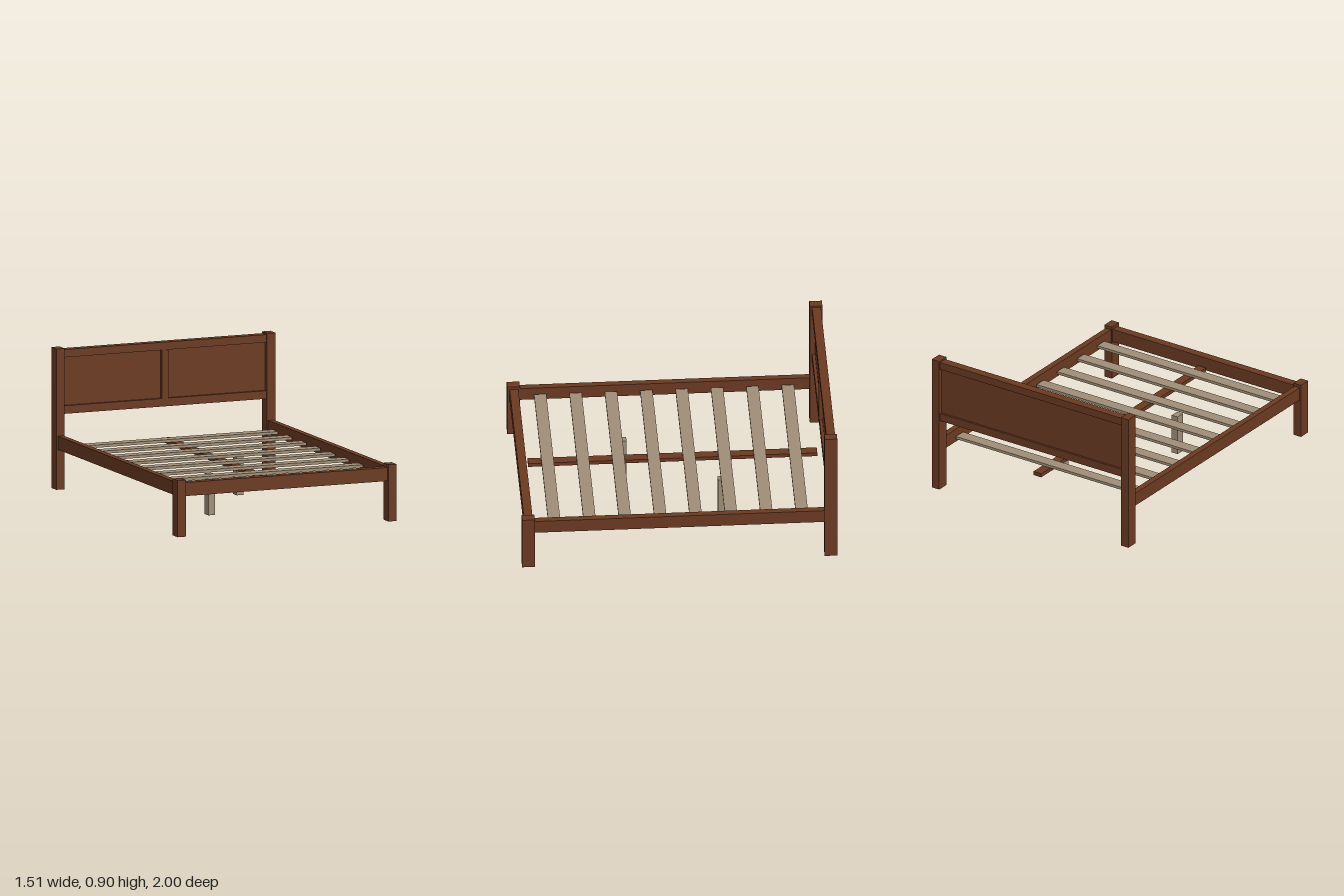
import * as THREE from 'three';

export function createModel() {
  const bed = new THREE.Group();
  bed.name = 'bedFrame';

  const brownWood = new THREE.MeshStandardMaterial({ color: 0x6b3a22 });
  brownWood.name = 'brownWood';
  const paleWood = new THREE.MeshStandardMaterial({ color: 0xa08f78 });
  paleWood.name = 'paleWood';

  // Box given by its lower and upper limits on each axis
  function board(name, material, [x0, x1], [y0, y1], [z0, z1]) {
    const mesh = new THREE.Mesh(new THREE.BoxGeometry(x1 - x0, y1 - y0, z1 - z0), material);
    mesh.position.set((x0 + x1) / 2, (y0 + y1) / 2, (z0 + z1) / 2);
    mesh.name = name;
    bed.add(mesh);
  }

  const inner = 0.7, outer = 0.757;
  const span = [-inner, inner];

  // Corner posts and side rails, mirrored left and right
  for (const side of [1, -1]) {
    const label = side > 0 ? 'left' : 'right';
    const mirror = (a, b) => (side > 0 ? [a, b] : [-b, -a]);
    board(label + 'FootPost', brownWood, mirror(inner, outer), [0, 0.365], [0.92, 1]);
    board(label + 'HeadPost', brownWood, mirror(inner, outer), [0, 0.905], [-1, -0.92]);
    board(label + 'SideRail', brownWood, mirror(0.707, 0.747), [0.258, 0.345], [-0.92, 0.92]);
  }

  // Foot rail
  board('footRail', brownWood, span, [0.258, 0.345], [0.93, 0.985]);

  // Headboard: two rails, a recessed panel and a centre stile on the front
  const headDepth = [-0.99, -0.934];
  board('headTopRail', brownWood, span, [0.845, 0.895], headDepth);
  board('headBottomRail', brownWood, span, [0.482, 0.534], headDepth);
  board('headPanel', brownWood, span, [0.534, 0.845], [-0.977, -0.953]);
  board('headStile', brownWood, [-0.022, 0.022], [0.534, 0.845], [-0.953, -0.93]);

  // Centre beam under the slats
  board('centreBeam', brownWood, [-0.03, 0.03], [0.26, 0.285], [-0.92, 0.915]);

  // Eight evenly spaced slats
  for (let i = 0; i < 8; i++) {
    const z = -0.78 + i * 0.2245;
    board('slat' + (i + 1), paleWood, [-0.697, 0.697], [0.285, 0.303], [z - 0.039, z + 0.039]);
  }

  // Two support legs set diagonally about the centre
  for (const s of [1, -1]) {
    const x = 0.231 * s, z = -0.304 * s;
    board(s > 0 ? 'rearSupportLeg' : 'frontSupportLeg', paleWood,
      [x - 0.023, x + 0.023], [0, 0.262], [z - 0.029, z + 0.029]);
  }

  return bed;
}
